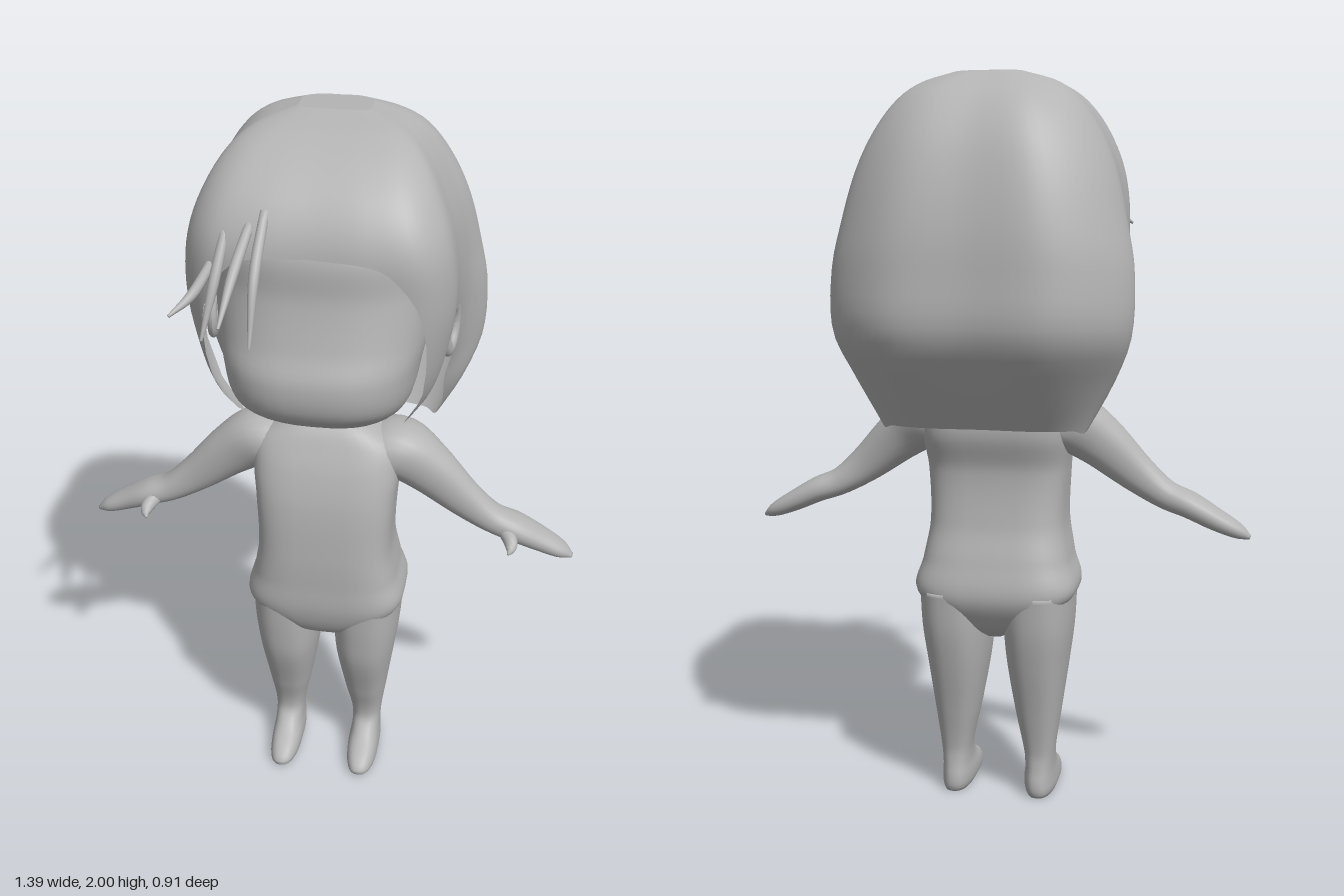
import * as THREE from 'three';

const V = (x, y, z) => new THREE.Vector3(x, y, z);

// Smooth lookup in a table of rows whose first column is the rising key
function sample(table, key) {
  const last = table.length - 1;
  let i = 0;
  while (i < last - 1 && key > table[i + 1][0]) i++;
  const p = table[i], q = table[i + 1], h = q[0] - p[0];
  const t = Math.min(1, Math.max(0, (key - p[0]) / h));
  const slope = (k, c) => {
    const a = table[Math.max(0, k - 1)], b = table[Math.min(last, k + 1)];
    return (b[c] - a[c]) / (b[0] - a[0]);
  };
  return p.map((_, c) => {
    const t2 = t * t, t3 = t2 * t;
    return (2 * t3 - 3 * t2 + 1) * p[c] + (t3 - 2 * t2 + t) * h * slope(i, c)
      + (3 * t2 - 2 * t3) * q[c] + (t3 - t2) * h * slope(i + 1, c);
  });
}

// Superellipse loop in the plane of the axes u and v
function ring(c, u, v, a, b, e, n) {
  const pow = (s) => Math.sign(s) * Math.abs(s) ** (2 / e);
  return Array.from({ length: n }, (_, j) => {
    const w = (j / n) * Math.PI * 2;
    return c.clone().addScaledVector(u, a * pow(Math.cos(w))).addScaledVector(v, b * pow(Math.sin(w)));
  });
}

// Skin over closed loops, with optional end caps
function skin(rings, capStart = true, capEnd = true) {
  const n = rings[0].length, pos = [], idx = [];
  rings.forEach((r) => r.forEach((p) => pos.push(p.x, p.y, p.z)));
  for (let i = 0; i < rings.length - 1; i++) {
    for (let j = 0; j < n; j++) {
      const a = i * n + j, b = i * n + (j + 1) % n;
      idx.push(a, b, b + n, a, b + n, a + n);
    }
  }
  const cap = (r, base, flip) => {
    const c = r.reduce((s, p) => s.add(p), V(0, 0, 0)).divideScalar(n);
    const k = pos.length / 3;
    pos.push(c.x, c.y, c.z);
    for (let j = 0; j < n; j++) {
      const a = base + j, b = base + (j + 1) % n;
      if (flip) idx.push(k, b, a); else idx.push(k, a, b);
    }
  };
  if (capStart) cap(rings[0], 0, true);
  if (capEnd) cap(rings[rings.length - 1], (rings.length - 1) * n, false);
  const g = new THREE.BufferGeometry();
  g.setAttribute('position', new THREE.Float32BufferAttribute(pos, 3));
  g.setIndex(idx);
  g.computeVertexNormals();
  return g;
}

// Upright form from rows of [y, centre x, half width, front z, back z]
function upright(rows, e, steps = 40, n = 40) {
  const y0 = rows[0][0], y1 = rows[rows.length - 1][0];
  return skin(Array.from({ length: steps + 1 }, (_, i) => {
    const [y, cx, w, zf, zb] = sample(rows, y0 + (y1 - y0) * i / steps);
    return ring(V(cx, y, (zf + zb) / 2), V(0, 0, 1), V(1, 0, 0), (zf - zb) / 2, w, e, n);
  }));
}

// Limb along a path from rows of [x, y, z, half height, half depth]
function limb(path, e = 2, steps = 24, n = 20) {
  const rows = path.map((r, i) => [i, ...r]), end = rows.length - 1;
  const at = (k) => V(...sample(rows, k).slice(1, 4));
  return skin(Array.from({ length: steps + 1 }, (_, i) => {
    const k = end * i / steps;
    const d = at(Math.min(end, k + 0.05)).sub(at(Math.max(0, k - 0.05))).normalize();
    const u = V(0, 0, 1).cross(d).normalize(), v = d.clone().cross(u);
    const s = sample(rows, k);
    return ring(at(k), u, v, s[4], s[5], e, n);
  }));
}

// Mirror image across x = 0 with the corner order restored
function mirrored(geo) {
  const g = geo.clone().scale(-1, 1, 1), a = g.index.array;
  for (let i = 0; i < a.length; i += 3) [a[i], a[i + 1]] = [a[i + 1], a[i]];
  g.computeVertexNormals();
  return g;
}

// Bobbed hair: outline by height, trimmed along a hem that dips into side locks
function hairGeometry() {
  // y, front z, back z, half width at front, half width at back
  const rows = [
    [1.08, -0.10, -0.27, 0.18, 0.27], [1.22, 0.17, -0.375, 0.215, 0.345],
    [1.34, 0.225, -0.45, 0.285, 0.39], [1.5, 0.245, -0.452, 0.325, 0.393],
    [1.62, 0.256, -0.44, 0.335, 0.37], [1.75, 0.262, -0.41, 0.32, 0.337],
    [1.85, 0.22, -0.37, 0.285, 0.292], [1.93, 0.135, -0.31, 0.235, 0.235],
    [1.975, 0.04, -0.24, 0.175, 0.175], [2.0, -0.07, -0.19, 0.09, 0.09]];
  // share of half width, share of depth, blend towards back width
  const plan = [[0, 1, 0], [0.45, 1, 0], [0.81, 0.96, 0], [1, 0.83, 0], [1, 0.63, 0.05],
    [1, 0.46, 0.4], [1, 0.28, 1], [0.86, 0.12, 1], [0.5, 0, 1], [0, 0, 1]];
  const hem = [[0, 1.745], [1, 1.735], [1.45, 1.7], [2, 1.58], [2.6, 1.32], [2.95, 1.22], [3.2, 1.24],
    [3.6, 1.46], [4.1, 1.52], [4.5, 1.44], [5, 1.3], [6, 1.1], [7, 1.09], [9, 1.09]];
  const half = 54, steps = 36;
  const point = (k, s) => {
    const h = sample(hem, k)[1], y = h + (2 - h) * Math.sin(s * Math.PI / 2);
    const [, zf, zb, wf, wb] = sample(rows, y);
    const curve = new THREE.CatmullRomCurve3(plan.map(([x, f, b]) =>
      V(x * (wf + (wb - wf) * b), 0, zb + (zf - zb) * f)), false, 'catmullrom', 0.5);
    const p = curve.getPoint(k / (plan.length - 1));
    return V(p.x, y, p.z);
  };
  return skin(Array.from({ length: steps + 1 }, (_, i) => {
    const side = Array.from({ length: half + 1 }, (_, j) => point(9 * j / half, i / steps));
    const other = side.slice(1, half).reverse().map((p) => V(-p.x, p.y, p.z));
    return [...side, ...other];
  }), false, true);
}

export function createModel() {
  const model = new THREE.Group();
  const clay = new THREE.MeshStandardMaterial({ color: 0xb4b4b4, side: THREE.DoubleSide });
  clay.name = 'clayGrey';
  const add = (name, geo) => {
    const m = new THREE.Mesh(geo, clay);
    m.name = name;
    model.add(m);
  };
  const pair = (name, geo) => {
    add('left' + name, geo);
    add('right' + name, mirrored(geo));
  };

  // Head with a blunt, jutting lower face
  add('head', upright([
    [1.22, 0, 0.1, 0.09, -0.12], [1.24, 0, 0.16, 0.16, -0.15], [1.28, 0, 0.21, 0.235, -0.18],
    [1.33, 0, 0.238, 0.288, -0.2], [1.42, 0, 0.256, 0.302, -0.22], [1.5, 0, 0.272, 0.275, -0.25],
    [1.62, 0, 0.28, 0.248, -0.28], [1.75, 0, 0.265, 0.235, -0.26], [1.86, 0, 0.2, 0.14, -0.2]], 2.6));
  add('hair', hairGeometry());

  // Torso and neck
  add('torso', upright([
    [0.475, 0, 0.03, 0.06, -0.1], [0.52, 0, 0.11, 0.115, -0.15], [0.6, 0, 0.222, 0.147, -0.19],
    [0.7, 0, 0.206, 0.152, -0.175], [0.8, 0, 0.19, 0.152, -0.15], [0.95, 0, 0.195, 0.14, -0.14],
    [1.05, 0, 0.205, 0.115, -0.168], [1.12, 0, 0.195, 0.085, -0.165], [1.165, 0, 0.13, 0.06, -0.145],
    [1.195, 0, 0.072, 0.03, -0.12], [1.3, 0, 0.065, 0.02, -0.11]], 3.6, 64));

  // Legs running into the feet
  pair('Leg', upright([
    [0, 0.122, 0.04, 0.155, -0.095], [0.015, 0.121, 0.046, 0.168, -0.102],
    [0.045, 0.12, 0.046, 0.14, -0.102], [0.08, 0.121, 0.042, 0.075, -0.096],
    [0.13, 0.121, 0.044, 0.035, -0.094], [0.25, 0.117, 0.064, 0.065, -0.118],
    [0.4, 0.115, 0.086, 0.115, -0.155], [0.5, 0.117, 0.096, 0.13, -0.175],
    [0.61, 0.118, 0.1, 0.138, -0.185]], 2.5, 56));

  // Arms with mitten hands and a small thumb
  pair('Arm', limb([
    [0.13, 1.08, -0.035, 0.07, 0.1], [0.2, 1.08, -0.03, 0.082, 0.095], [0.28, 1.03, -0.022, 0.073, 0.066],
    [0.38, 0.945, -0.018, 0.054, 0.046], [0.46, 0.888, -0.02, 0.04, 0.046],
    [0.53, 0.86, -0.024, 0.036, 0.053], [0.6, 0.825, -0.03, 0.03, 0.045],
    [0.66, 0.796, -0.03, 0.021, 0.033], [0.694, 0.778, -0.028, 0.006, 0.01]], 2.2, 40, 24));
  pair('Thumb', limb([
    [0.5, 0.865, 0.005, 0.02, 0.02], [0.52, 0.85, 0.035, 0.02, 0.018],
    [0.523, 0.838, 0.058, 0.014, 0.012], [0.517, 0.83, 0.074, 0.003, 0.003]], 2, 12, 12));

  // Ears: a raised rim around a hollow, tapering to the lobe
  const shapeEar = (g) => {
    const p = g.attributes.position;
    for (let i = 0; i < p.count; i++) {
      const y = p.getY(i);
      p.setX(i, p.getX(i) + 0.12 * y);
      p.setY(i, y * 1.55);
    }
    g.rotateY(Math.PI / 2 - 0.2);
    g.translate(0.318, 1.46, -0.032);
    g.computeVertexNormals();
    return g;
  };
  pair('EarRim', shapeEar(new THREE.TorusGeometry(0.039, 0.014, 12, 28)));
  pair('EarHollow', shapeEar(new THREE.SphereGeometry(0.038, 20, 12).scale(1, 1, 0.3).translate(0, 0, -0.012)));

  // Loose forelock strands
  const strands = [
    [[-0.11, 1.84, 0.22], [-0.115, 1.72, 0.33], [-0.116, 1.57, 0.395]],
    [[-0.145, 1.81, 0.23], [-0.162, 1.73, 0.34], [-0.175, 1.64, 0.445]],
    [[-0.205, 1.79, 0.23], [-0.222, 1.68, 0.295], [-0.245, 1.555, 0.345]],
    [[-0.235, 1.72, 0.23], [-0.275, 1.65, 0.29], [-0.32, 1.615, 0.35]]];
  strands.forEach((pts, i) => {
    const r = [0.012, 0.013, 0.004];
    add('forelock' + (i + 1), limb(pts.map((p, k) => [...p, r[k], r[k]]), 2, 14, 10));
  });
  return model;
}
